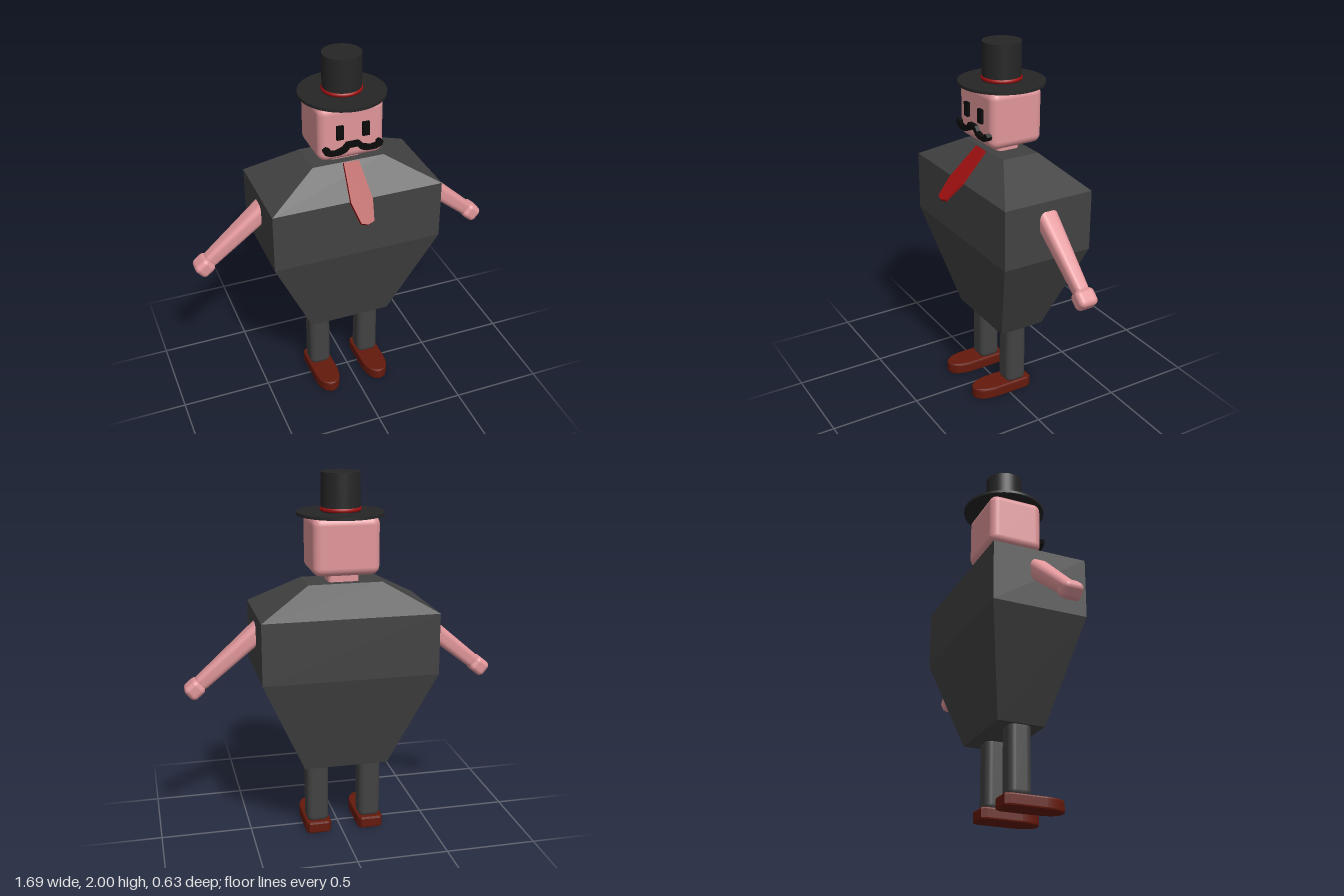
import * as THREE from 'three';
import { RoundedBoxGeometry } from 'three/addons/geometries/RoundedBoxGeometry.js';

const CX = -0.01, CZ = -0.06; // centre line of the figure
const mat = (color, extra = {}) => Object.assign(new THREE.MeshStandardMaterial({ color }), extra);

export function createModel() {
  const root = new THREE.Group();
  const skin = mat(0xe0969a), suit = mat(0x424242), suitFlat = mat(0x424242, { flatShading: true });
  const hatBlack = mat(0x262626), black = mat(0x0a0a0a), red = mat(0xa01010), leather = mat(0x64190c);

  const add = (name, geometry, material, x, y, z, parent = root) => {
    const mesh = new THREE.Mesh(geometry, material);
    mesh.name = name;
    mesh.position.set(x, y, z);
    parent.add(mesh);
    return mesh;
  };
  const shapeOf = pts => new THREE.Shape(pts.map(p => new THREE.Vector2(...p)));

  // Faceted torso: rings of [height, half width, half depth]
  const rings = [[0.42, 0.23, 0.13], [0.955, 0.47, 0.26], [1.285, 0.47, 0.26], [1.435, 0.198, 0.105]];
  const torso = new THREE.BoxGeometry(2, 3, 2, 1, 3, 1);
  const p = torso.attributes.position;
  for (let i = 0; i < p.count; i++) {
    const [y, w, d] = rings[Math.round(p.getY(i) + 1.5)];
    p.setXYZ(i, p.getX(i) * w, y, p.getZ(i) * d);
  }
  add('torso', torso, suitFlat, CX, 0, CZ);

  // Head and neck
  add('neck', new RoundedBoxGeometry(0.165, 0.16, 0.125, 3, 0.02), skin, CX, 1.455, CZ);
  add('head', new RoundedBoxGeometry(0.355, 0.308, 0.305, 5, 0.045), skin, CX, 1.632, -0.055);

  // Face
  for (const s of [-1, 1])
    add(s < 0 ? 'rightEye' : 'leftEye', new THREE.BoxGeometry(0.038, 0.075, 0.025), black, CX + s * 0.07, 1.643, 0.101);
  const half = [[0.034, 0.03], [0.055, 0.006], [0.095, -0.008], [0.128, -0.002], [0.127, 0.012],
    [0.145, 0.02], [0.163, 0.004], [0.155, -0.016], [0.125, -0.03], [0.07, -0.03], [0.038, -0.018], [0.02, 0.002]];
  const whiskers = shapeOf([...half, ...half.map(([x, y]) => [-x, y]).reverse()]);
  add('moustache', new THREE.ExtrudeGeometry(whiskers, { depth: 0.03, bevelEnabled: false }), black, CX, 1.553, 0.09);

  // Top hat
  add('hatBrim', new THREE.CylinderGeometry(0.23, 0.23, 0.015, 48), hatBlack, -0.006, 1.788, CZ);
  add('hatCrown', new THREE.CylinderGeometry(0.103, 0.103, 0.21, 40), hatBlack, -0.006, 1.895, CZ);
  const band = add('hatBand', new THREE.TorusGeometry(0.096, 0.013, 10, 40), red, -0.006, 1.81, CZ);
  band.rotation.x = Math.PI / 2;

  // Tie, leaning out from the collar
  const tieShape = shapeOf([[-0.042, 0], [-0.06, -0.215], [-0.036, -0.33], [0, -0.342], [0.036, -0.33], [0.06, -0.215], [0.042, 0]]);
  const tie = add('tie', new THREE.ExtrudeGeometry(tieShape, { depth: 0.018, bevelEnabled: false }), red, -0.005, 1.433, 0.058);
  tie.rotation.x = -0.79;

  // Tapered arms with fists, built along local -y
  const taperedArm = length => {
    const g = new RoundedBoxGeometry(0.105, length, 0.118, 5, 0.036);
    const a = g.attributes.position;
    for (let i = 0; i < a.count; i++) {
      const t = 0.5 - a.getY(i) / length;
      a.setX(i, a.getX(i) * (1 - 0.26 * t));
      a.setZ(i, a.getZ(i) * (1 - 0.38 * t));
    }
    g.computeVertexNormals();
    // Keep the rounded corners smooth across their shared seams
    const n = g.attributes.normal, sums = new Map();
    const key = i => [a.getX(i), a.getY(i), a.getZ(i)].map(v => Math.round(v * 1e5)).join();
    for (let i = 0; i < n.count; i++) {
      const k = key(i);
      if (!sums.has(k)) sums.set(k, new THREE.Vector3());
      sums.get(k).add(new THREE.Vector3().fromBufferAttribute(n, i));
    }
    for (let i = 0; i < n.count; i++) {
      const v = sums.get(key(i)).clone().normalize();
      n.setXYZ(i, v.x, v.y, v.z);
    }
    return g;
  };
  const arms = [
    ['leftArm', [0.40, 1.215], [0.755, 0.91]],
    ['rightArm', [-0.42, 1.213], [-0.765, 0.93]],
  ];
  for (const [name, from, to] of arms) {
    const arm = new THREE.Group();
    arm.name = name;
    arm.position.set(from[0], from[1], CZ);
    const dir = new THREE.Vector3(to[0] - from[0], to[1] - from[1], 0);
    const length = dir.length();
    arm.quaternion.setFromUnitVectors(new THREE.Vector3(0, -1, 0), dir.normalize());
    add('sleevelessArm', taperedArm(length + 0.04), skin, 0, -length / 2, 0, arm);
    add('fist', new RoundedBoxGeometry(0.09, 0.095, 0.108, 4, 0.028), skin, 0, -length - 0.04, 0, arm);
    root.add(arm);
  }

  // Legs and shoes
  const sole = new THREE.Shape();
  sole.moveTo(-0.052, 0.14);
  sole.lineTo(-0.064, 0.12);
  sole.lineTo(-0.064, -0.08);
  sole.bezierCurveTo(-0.06, -0.15, -0.035, -0.192, 0, -0.192);
  sole.bezierCurveTo(0.035, -0.192, 0.06, -0.15, 0.064, -0.08);
  sole.lineTo(0.064, 0.12);
  sole.lineTo(0.052, 0.14);
  sole.closePath();
  const shoe = new THREE.ExtrudeGeometry(sole, {
    depth: 0.045, bevelThickness: 0.01, bevelSize: 0.008, bevelOffset: -0.001, bevelSegments: 2, curveSegments: 10,
  });
  shoe.rotateX(-Math.PI / 2); // height along y
  shoe.scale(1, 1, -1); // toe towards the front
  const idx = shoe.attributes.position;
  for (const attr of [idx, shoe.attributes.normal]) // restore the winding after mirroring
    for (let i = 0; i < attr.count; i += 3) {
      const b = new THREE.Vector3().fromBufferAttribute(attr, i + 1);
      const c = new THREE.Vector3().fromBufferAttribute(attr, i + 2);
      attr.setXYZ(i + 1, c.x, c.y, c.z);
      attr.setXYZ(i + 2, b.x, b.y, b.z);
    }
  shoe.rotateY(Math.PI);
  shoe.rotateY(Math.PI);
  shoe.scale(1, 1, 1);
  shoe.computeBoundingBox();
  const toeFlip = Math.abs(shoe.boundingBox.min.z) > shoe.boundingBox.max.z;
  if (toeFlip) shoe.rotateY(Math.PI);
  for (const [side, x] of [['right', -0.165], ['left', 0.132]]) {
    add(side + 'Leg', new RoundedBoxGeometry(0.122, 0.4, 0.123, 4, 0.035), suit, x, 0.25, -0.053);
    add(side + 'Shoe', shoe, leather, x, 0.01, 0.005);
  }
  return root;
}
